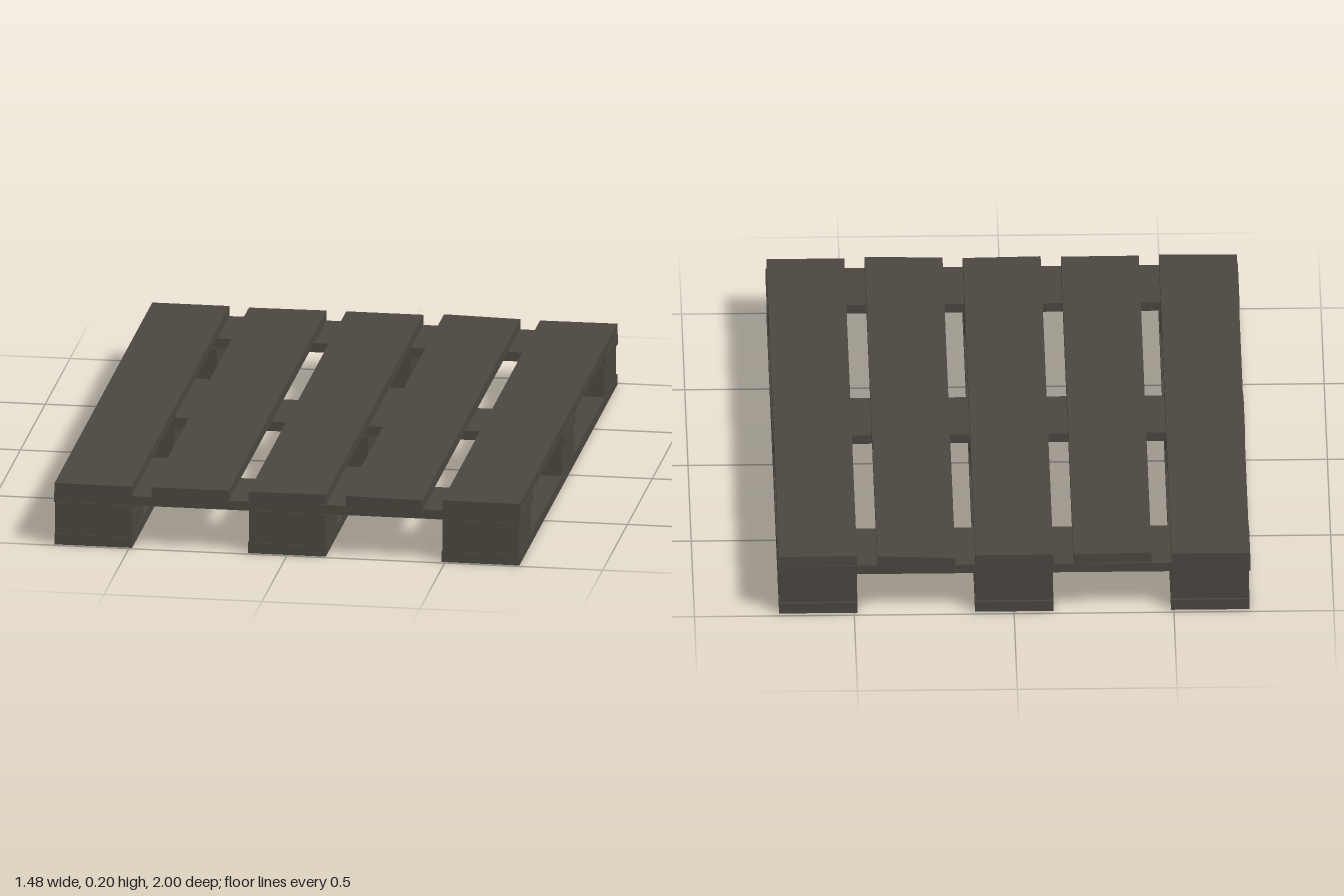
import * as THREE from 'three';

export function createModel() {
  const model = new THREE.Group();
  const wood = new THREE.MeshStandardMaterial({ color: 0x4b4740 });
  wood.name = 'weatheredWood';

  // Board from min/max bounds; ends gives z at [backLeftX, backRightX, frontLeftX, frontRightX]
  function board(name, x0, x1, y0, y1, ends) {
    const geo = new THREE.BoxGeometry(x1 - x0, y1 - y0, 1);
    geo.translate((x0 + x1) / 2, (y0 + y1) / 2, 0);
    const p = geo.attributes.position;
    const mid = (x0 + x1) / 2;
    for (let i = 0; i < p.count; i++) {
      p.setZ(i, ends[(p.getZ(i) > 0 ? 2 : 0) + (p.getX(i) > mid ? 1 : 0)]);
    }
    geo.computeVertexNormals();
    const mesh = new THREE.Mesh(geo, wood);
    mesh.name = name;
    model.add(mesh);
  }

  // Deck boards with slightly uneven sawn ends
  const deckEnds = [
    [-0.984, -0.984, 0.986, 0.992],
    [-0.977, -0.983, 0.986, 0.984],
    [-0.984, -0.984, 0.988, 0.981],
    [-1.0, -0.985, 0.985, 0.995],
    [-0.98, -0.984, 0.986, 0.986],
  ];
  deckEnds.forEach((ends, i) => {
    const x = -0.615 + i * 0.307;
    board('deckBoard', x - 0.122, x + 0.122, 0.167, 0.2, ends);
  });

  // Cross boards under the deck
  for (const z of [-0.861, 0, 0.861]) {
    board('crossBoard', -0.74, 0.738, 0.137, 0.167, [z - 0.123, z - 0.123, z + 0.123, z + 0.123]);
  }

  // Runners on the ground, each carrying three spacer blocks
  for (const x of [-0.614, -0.001, 0.612]) {
    board('runner', x - 0.123, x + 0.123, 0, 0.035, [-0.984, -0.984, 0.99, 0.99]);
    for (const z of [-0.853, 0.008, 0.865]) {
      board('spacerBlock', x - 0.121, x + 0.121, 0.035, 0.137, [z - 0.122, z - 0.122, z + 0.122, z + 0.122]);
    }
  }
  return model;
}
